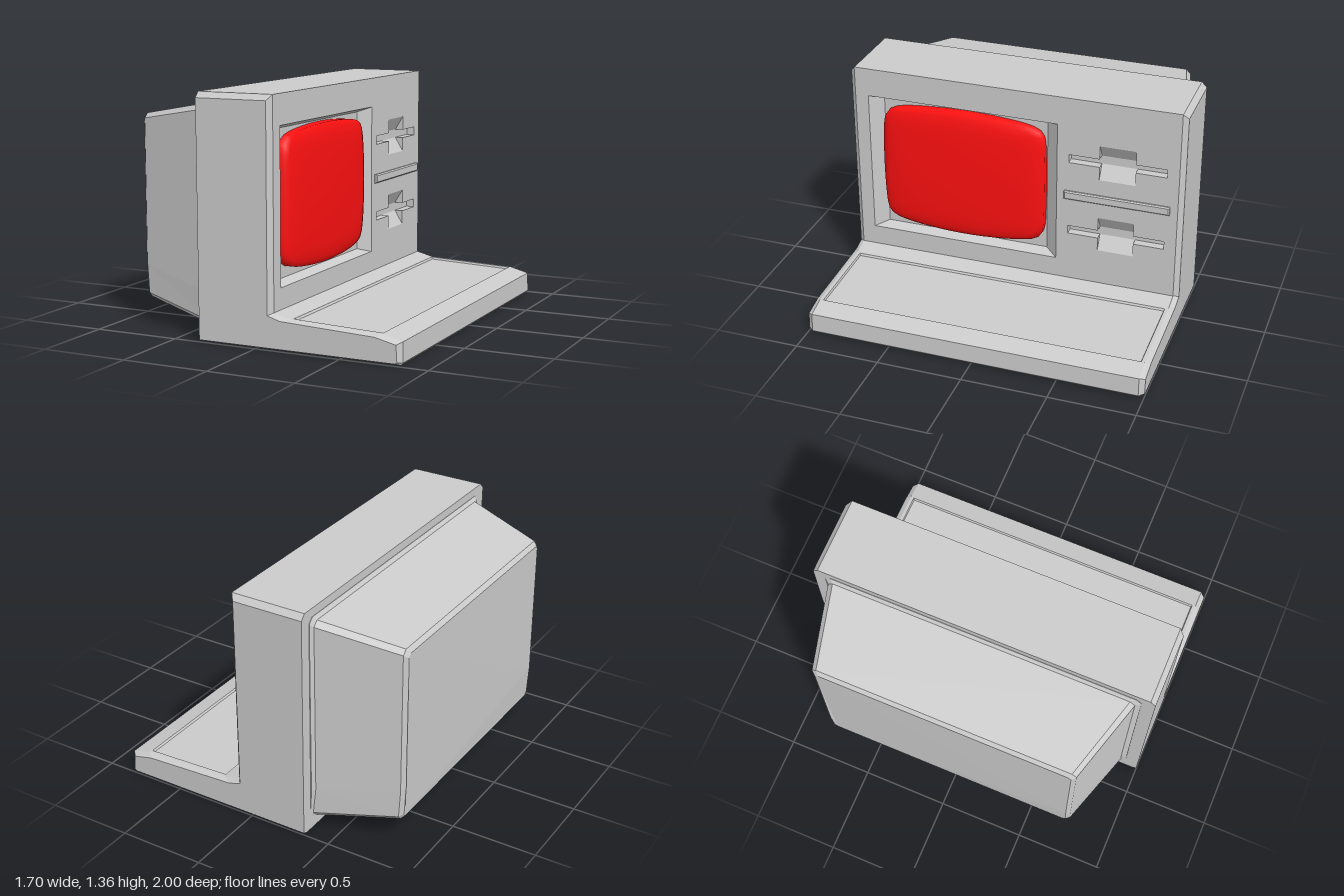
import * as THREE from 'three';

const grey = new THREE.MeshStandardMaterial({ color: 0xcccccc, flatShading: true });
const greyOpen = new THREE.MeshStandardMaterial({ color: 0xcccccc, flatShading: true, side: THREE.DoubleSide });
const red = new THREE.MeshStandardMaterial({ color: 0xff1010, side: THREE.DoubleSide });

function mesh(name, geometry, material = grey) {
  const m = new THREE.Mesh(geometry, material);
  m.name = name;
  return m;
}

// Flat-faced geometry from a list of convex polygons (each a list of [x, y, z])
function polygons(faces) {
  const pos = [];
  for (const f of faces) {
    for (let i = 1; i < f.length - 1; i++) pos.push(...f[0], ...f[i], ...f[i + 1]);
  }
  const g = new THREE.BufferGeometry();
  g.setAttribute('position', new THREE.Float32BufferAttribute(pos, 3));
  g.computeVertexNormals();
  return g;
}

// Closed loft through counter-clockwise rings along +z; open(k, i) leaves a face out
function loft(rings, open = () => false) {
  const faces = [];
  for (let k = 0; k < rings.length - 1; k++) {
    const a = rings[k], b = rings[k + 1], n = a.length;
    for (let i = 0; i < n; i++) {
      const j = (i + 1) % n;
      if (!open(k, i)) faces.push([a[i], a[j], b[j], b[i]]);
    }
  }
  for (const [ring, flip] of [[rings[0], true], [rings.at(-1), false]]) {
    const tris = THREE.ShapeUtils.triangulateShape(ring.map(p => new THREE.Vector2(p[0], p[1])), []);
    for (const t of tris) {
      const f = t.map(i => ring[i]);
      faces.push(flip ? f.reverse() : f);
    }
  }
  return polygons(faces);
}

const rect = (x0, x1, y0, y1) => [[x0, y0], [x1, y0], [x1, y1], [x0, y1]];
const at = (pts, z) => pts.map(([x, y]) => [x, y, z]);

// Flat sheet with holes
function sheet(outline, holes) {
  const v = pts => pts.map(p => new THREE.Vector2(...p));
  const s = new THREE.Shape(v(outline));
  holes.forEach(h => s.holes.push(new THREE.Path(v(h))));
  return new THREE.ShapeGeometry(s);
}

// Recess with sloping walls and a floor
function pocket(outer, inner, depth) {
  const o = at(outer, 0), f = at(inner, -depth);
  return polygons([f, ...o.map((p, i) => {
    const j = (i + 1) % 4;
    return [p, o[j], f[j], f[i]];
  })]);
}

// Disk slot with finger ramps above and below, centred on y
const slot = { x0: 0.33, x1: 0.90, n0: 0.51, n1: 0.72, h: 0.025, r: 0.107, depth: 0.05 };
function slotOutline(y) {
  const { x0, x1, n0, n1, h, r } = slot;
  return [[x0, -h], [n0, -h], [n0, -r], [n1, -r], [n1, -h], [x1, -h],
    [x1, h], [n1, h], [n1, r], [n0, r], [n0, h], [x0, h]].map(([x, v]) => [x, v + y]);
}
function slotRecess(y) {
  const { x0, x1, n0, n1, h, r, depth: d } = slot;
  const faces = [at(rect(x0, x1, y - h, y + h), -d)];
  for (const x of [x0, x1]) {
    faces.push([[x, y - h, 0], [x, y + h, 0], [x, y + h, -d], [x, y - h, -d]]);
  }
  for (const s of [-1, 1]) {
    const e = y + s * h, t = y + s * r;
    for (const [a, b] of [[x0, n0], [n1, x1]]) {
      faces.push([[a, e, 0], [b, e, 0], [b, e, -d], [a, e, -d]]);
    }
    faces.push([[n0, t, 0], [n1, t, 0], [n1, e, -d], [n0, e, -d]]);
    for (const x of [n0, n1]) faces.push([[x, t, 0], [x, e, 0], [x, e, -d]]);
  }
  return polygons(faces);
}

// Domed tube face with barrel outline and rounded corners
function screenGeometry() {
  const g = new THREE.RingGeometry(0, 1, 96, 14);
  const p = g.attributes.position;
  for (let i = 0; i < p.count; i++) {
    const x = p.getX(i), y = p.getY(i), r = Math.hypot(x, y), a = Math.atan2(y, x);
    const k = Math.pow(Math.abs(Math.cos(a)) ** 12 + Math.abs(Math.sin(a)) ** 12, 1 / 12);
    const q = Math.min(r / 0.92, 1);
    const s = q * Math.cos(a) / k, t = q * Math.sin(a) / k;
    const z = r > 0.96 ? -0.06 : 0.026 - 0.02 * s * s - 0.012 * t * t - 0.018 * q ** 10;
    p.setXYZ(i, s * 0.497 * (1 - 0.02 * t * t), t * 0.393 * (1 - 0.1 * s * s), z);
  }
  g.computeVertexNormals();
  return g;
}

export function createModel() {
  const model = new THREE.Group();

  // L-shaped case: side profile with chamfered flanks, open for the front and deck panels
  const outer = [[-0.345, 0], [0.835, 0], [0.848, 0.015], [0.845, 0.125], [0.73, 0.155],
    [0.2, 0.175], [0.1, 0.2], [0.1, 1.36], [-0.35, 1.36]];
  const inner = [[-0.345, 0.012], [0.815, 0.012], [0.826, 0.02], [0.82, 0.112], [0.7, 0.14],
    [0.15, 0.165], [0.075, 0.188], [0.075, 1.328], [-0.35, 1.328]];
  model.add(mesh('case', loft(
    [at(inner, -1), at(outer, -0.97), at(outer, 0.97), at(inner, 1)],
    (k, i) => k === 1 && (i === 4 || i === 6))));

  // Tapered rear housing
  const ring = (x, y0, y1, z0, z1, c, lean) => [[z0 + c, y0], [z1 - c, y0], [z1, y0 + c],
    [z1, y0 + 0.19], [z1, y1 - c], [z1 - c, y1], [z0 + c, y1], [z0, y1 - c],
    [z0, y0 + 0.19], [z0, y0 + c]].map(([z, y]) => [z, y, -x - (y < y0 + 0.1 ? lean : 0)]);
  const rear = mesh('rearHousing', loft([
    ring(-0.33, 0.06, 1.31, -0.93, 0.925, 0.03, 0),
    ring(-0.352, 0.06, 1.31, -0.93, 0.925, 0.03, 0.008),
    ring(-0.367, 0.067, 1.288, -0.91, 0.895, 0.03, 0.018),
    ring(-0.832, 0.152, 1.203, -0.80, 0.75, 0.027, 0.01),
    ring(-0.852, 0.172, 1.178, -0.775, 0.727, 0.02, 0.01)]));
  rear.rotation.y = -Math.PI / 2;
  model.add(rear);

  // Front panel with screen recess and disk slots
  const front = new THREE.Group();
  front.name = 'frontPanel';
  front.rotation.y = Math.PI / 2;
  front.position.x = 0.1;
  const bezel = rect(-0.89, 0.26, 0.32, 1.19);
  const slotHeights = [0.985, 0.525];
  front.add(mesh('frontFace', sheet(rect(-0.97, 0.97, 0.2, 1.36),
    [bezel, ...slotHeights.map(slotOutline)])));
  front.add(mesh('screenRecess', pocket(bezel, rect(-0.815, 0.185, 0.345, 1.165), 0.06), greyOpen));
  const screen = mesh('screen', screenGeometry(), red);
  screen.position.set(-0.315, 0.765, 0);
  front.add(screen);
  slotHeights.forEach(y => front.add(mesh('diskSlot', slotRecess(y), greyOpen)));

  // Raised trim bar between the slots
  front.add(mesh('trimBar', loft([
    at(rect(0.305, 0.925, 0.728, 0.78), -0.01),
    at(rect(0.305, 0.925, 0.728, 0.78), 0.008),
    at(rect(0.312, 0.918, 0.735, 0.773), 0.016)])));
  model.add(front);

  // Keyboard deck with a shallow sunken panel
  const deck = new THREE.Group();
  deck.name = 'keyboardDeck';
  deck.rotation.set(-Math.PI / 2 + Math.atan2(0.02, 0.53), Math.PI / 2, 0, 'YXZ');
  deck.position.set(0.465, 0.165, 0);
  const well = rect(-0.95, 0.95, -0.262, 0.257);
  deck.add(mesh('deckRim', sheet(rect(-0.97, 0.97, -0.2652, 0.2652), [well])));
  deck.add(mesh('deckPanel', pocket(well, rect(-0.945, 0.945, -0.255, 0.25), 0.012), greyOpen));
  model.add(deck);

  return model;
}
